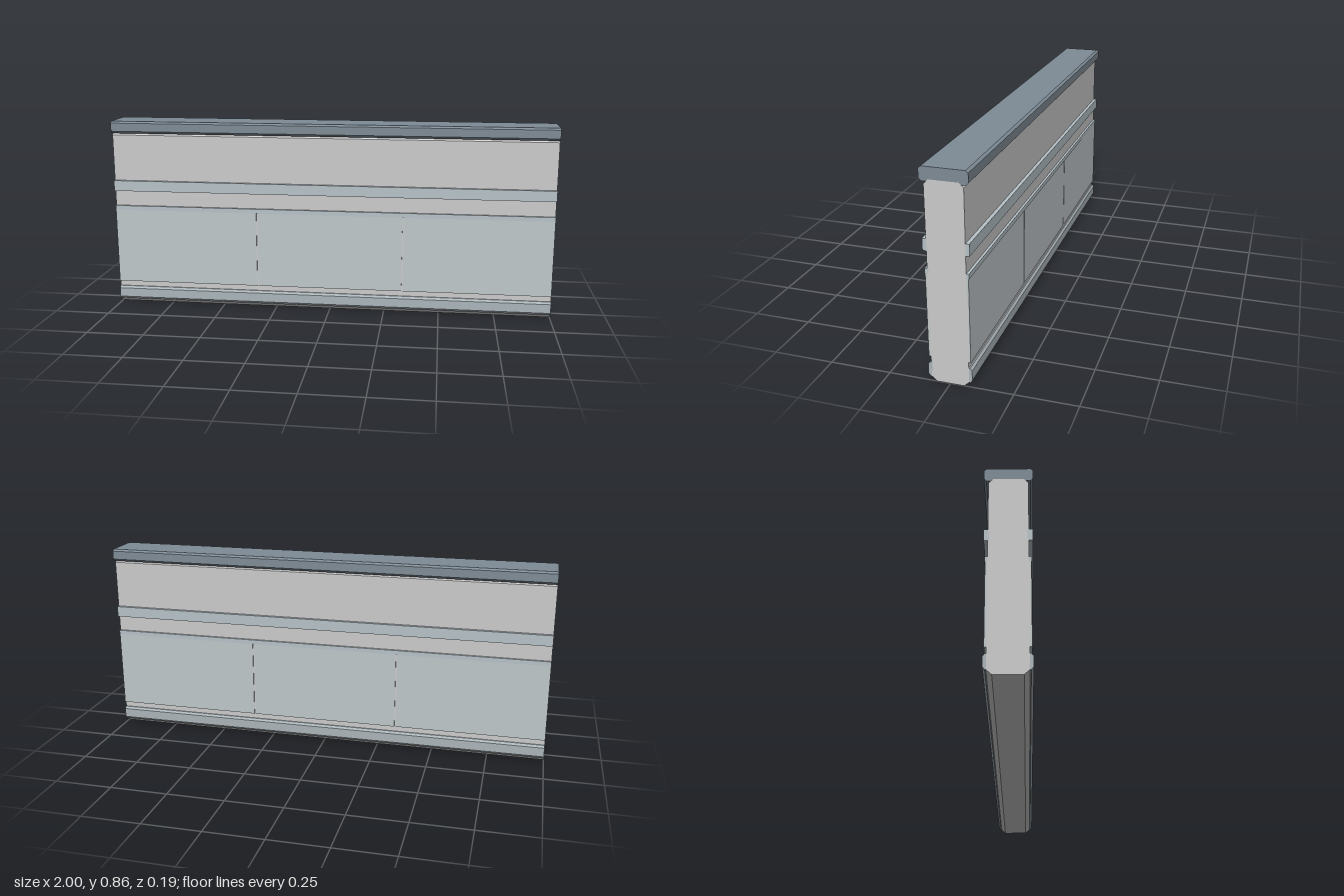
import * as THREE from 'three';

const LENGTH = 2;
const mat = (color) => new THREE.MeshStandardMaterial({ color, flatShading: true });
const wallMat = mat(0xcccccc);
const capMat = mat(0x7f8c96);
const railMat = mat(0xb7c2c8);
const panelMat = mat(0xc0c8ca);
const baseMat = mat(0xabb5ba);

// Extrude a [z, y] cross-section along x
function bar(name, section, material, length = LENGTH, x = 0) {
  const shape = new THREE.Shape(section.map(([z, y]) => new THREE.Vector2(-z, y)));
  const geometry = new THREE.ExtrudeGeometry(shape, { depth: length, bevelEnabled: false });
  geometry.translate(0, 0, -length / 2);
  geometry.rotateY(Math.PI / 2);
  const mesh = new THREE.Mesh(geometry, material);
  mesh.name = name;
  mesh.position.x = x;
  return mesh;
}

// Close a half profile by mirroring it across z = 0
const mirrored = (half) => [...half, ...half.map(([z, y]) => [-z, y]).reverse()];
const rect = (z0, z1, y0, y1) => [[z0, y0], [z1, y0], [z1, y1], [z0, y1]];

export function createModel() {
  const model = new THREE.Group();
  model.name = 'wallSegment';

  // Main slab with chamfered top and bottom edges
  model.add(bar('wallBody', mirrored([
    [0.055, 0], [0.075, 0.018], [0.075, 0.798], [0.057, 0.815],
  ]), wallMat));

  // Coping, notched underneath to sit on the slab
  model.add(bar('topCap', mirrored([
    [0.057, 0.815], [0.066, 0.807], [0.083, 0.807], [0.093, 0.817],
    [0.093, 0.854], [0.083, 0.862],
  ]), capMat));

  // Trim repeated on both faces
  for (const side of [1, -1]) {
    const face = new THREE.Group();
    face.name = side > 0 ? 'frontTrim' : 'backTrim';
    if (side < 0) face.rotation.y = Math.PI;

    face.add(bar('upperRail', rect(0.07, 0.09, 0.54, 0.588), railMat));
    face.add(bar('panelRail', rect(0.07, 0.0855, 0.45, 0.47), railMat));
    face.add(bar('baseboard', [
      [0.07, 0.018], [0.079, 0.018], [0.088, 0.029],
      [0.088, 0.07], [0.08, 0.08], [0.07, 0.08],
    ], baseMat));

    // Three lower panels on a thin backing, separated by narrow joints
    face.add(bar('panelBacking', rect(0.07, 0.079, 0.105, 0.45), wallMat));
    const gap = 0.006, pitch = LENGTH / 3;
    for (let i = -1; i <= 1; i++) {
      const width = pitch - (i === 0 ? gap : gap / 2);
      face.add(bar('lowerPanel', rect(0.07, 0.0835, 0.105, 0.45), panelMat,
        width, i * (pitch + gap / 4)));
    }
    model.add(face);
  }
  return model;
}
